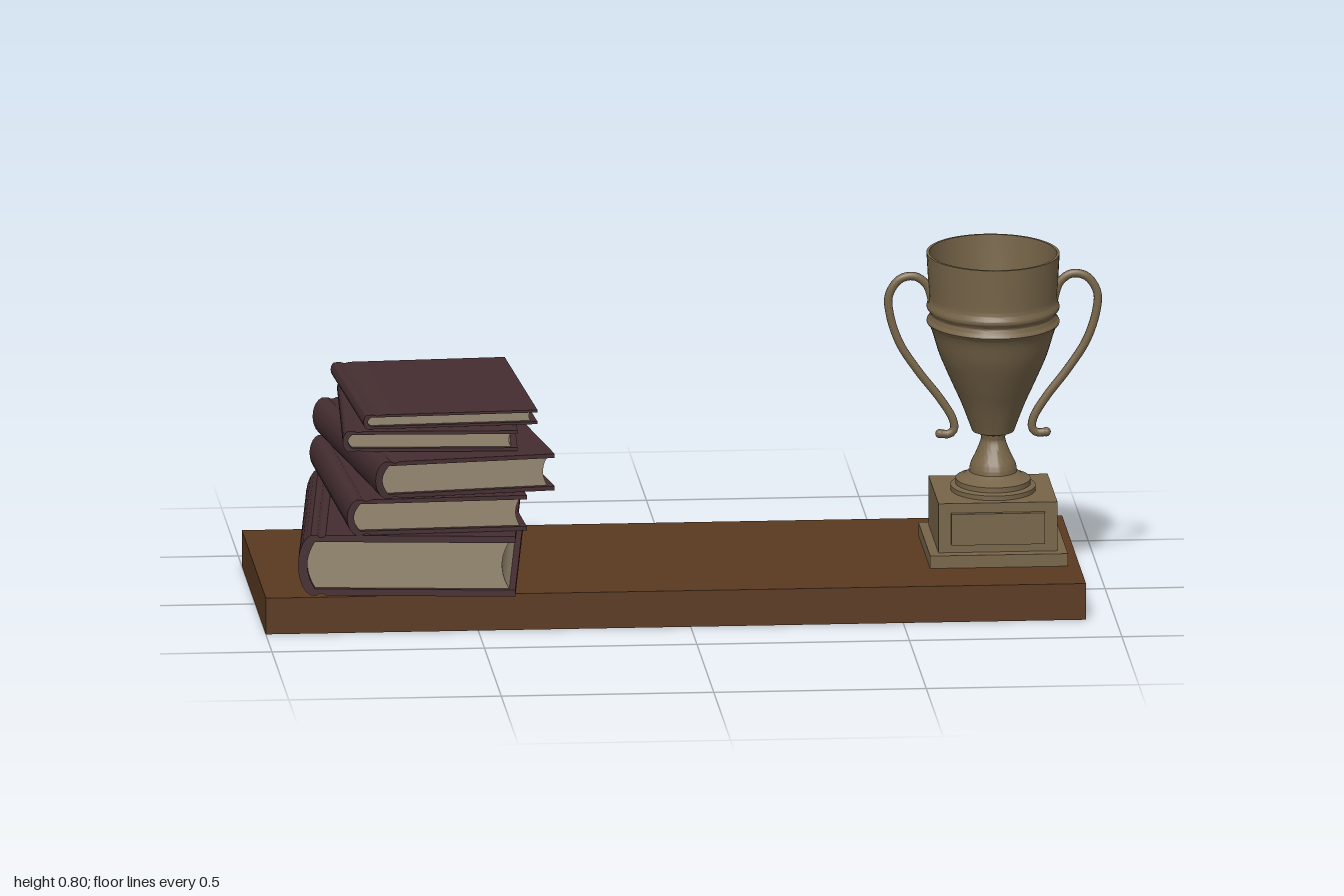
import * as THREE from 'three';
import { toCreasedNormals } from 'three/addons/utils/BufferGeometryUtils.js';

const material = (name, color) => {
  const m = new THREE.MeshStandardMaterial({ color });
  m.name = name;
  return m;
};

export function createModel() {
  const wood = material('brown wood', 0x5a3a20);
  const bronze = material('aged bronze', 0x776549);
  const leather = material('maroon cover', 0x442d30);
  const paper = material('old paper', 0x968871);

  const model = new THREE.Group();
  model.name = 'shelfWithBooksAndTrophy';

  const add = (parent, name, geometry, mat, x = 0, y = 0, z = 0) => {
    const mesh = new THREE.Mesh(geometry, mat);
    mesh.name = name;
    mesh.position.set(x, y, z);
    parent.add(mesh);
    return mesh;
  };
  // box given by its lower and upper corners
  const block = (parent, name, mat, [x0, y0, z0], [x1, y1, z1]) =>
    add(parent, name, new THREE.BoxGeometry(x1 - x0, y1 - y0, z1 - z0), mat,
      (x0 + x1) / 2, (y0 + y1) / 2, (z0 + z1) / 2);
  // extrude a cross-section along z, centred
  const extrude = (shape, depth) => {
    const g = new THREE.ExtrudeGeometry(shape, { depth, bevelEnabled: false, curveSegments: 10 });
    g.translate(0, 0, -depth / 2);
    return toCreasedNormals(g, 0.6);
  };

  // shelf board
  block(model, 'shelfBoard', wood, [-1, 0, -0.392], [0.93, 0.087, 0.317]);

  // book: wrapped cover with a rounded spine at -x, page block with a hollow fore-edge
  function makeBook({ x, z, y0, y1, w, d, turn, board }) {
    const book = new THREE.Group();
    book.name = 'book';
    const h = y1 - y0, L = -w / 2, R = w / 2, t = board;
    const bulge = Math.min(0.03, h * 0.25), g = t * 0.35;
    const sx = L + bulge;

    const cover = new THREE.Shape();
    cover.moveTo(R, 0);
    cover.lineTo(R, t);
    cover.lineTo(sx + 0.01, t);
    cover.quadraticCurveTo(L + t - bulge * 0.4, h / 2, sx + 0.01, h - t);
    cover.lineTo(R, h - t);
    cover.lineTo(R, h);
    cover.lineTo(sx + 0.035, h);
    cover.quadraticCurveTo(sx + 0.025, h - 2 * g, sx + 0.015, h);
    cover.lineTo(sx, h);
    cover.bezierCurveTo(L - bulge * 0.33, h * 0.85, L - bulge * 0.33, h * 0.15, sx, 0);
    cover.lineTo(sx + 0.015, 0);
    cover.quadraticCurveTo(sx + 0.025, 2 * g, sx + 0.035, 0);
    cover.closePath();
    add(book, 'cover', extrude(cover, d), leather);

    const inset = 0.014, e = 0.001;
    const pages = new THREE.Shape();
    pages.moveTo(sx + 0.006, t - e);
    pages.lineTo(R - inset, t - e);
    pages.quadraticCurveTo(R - inset - Math.min(0.035, h * 0.25), h / 2, R - inset, h - t + e);
    pages.lineTo(sx + 0.006, h - t + e);
    pages.quadraticCurveTo(L + t - bulge * 0.4, h / 2, sx + 0.006, t - e);
    add(book, 'pages', extrude(pages, d - 2 * inset), paper);

    book.position.set(x, y0, z);
    book.rotation.y = turn;
    return book;
  }

  const stack = new THREE.Group();
  stack.name = 'bookStack';
  model.add(stack);
  [
    { x: -0.636, z: 0.02, y0: 0.098, y1: 0.243, w: 0.51, d: 0.7, turn: -0.105, board: 0.016 },
    { x: -0.617, z: 0.008, y0: 0.244, y1: 0.329, w: 0.425, d: 0.685, turn: 0.05, board: 0.01 },
    { x: -0.58, z: 0, y0: 0.333, y1: 0.421, w: 0.43, d: 0.687, turn: 0.138, board: 0.01 },
    { x: -0.595, z: 0, y0: 0.424, y1: 0.473, w: 0.41, d: 0.555, turn: -0.055, board: 0.008 },
    { x: -0.577, z: -0.024, y0: 0.477, y1: 0.511, w: 0.412, d: 0.556, turn: 0.06, board: 0.006 },
  ].forEach((spec) => stack.add(makeBook(spec)));

  // trophy plinth
  const trophy = new THREE.Group();
  trophy.name = 'trophy';
  model.add(trophy);
  block(trophy, 'plinthStep', bronze, [0.578, 0.087, -0.222], [0.902, 0.117, 0.133]);
  block(trophy, 'plinth', bronze, [0.6, 0.117, -0.192], [0.88, 0.235, 0.101]);
  block(trophy, 'plaque', bronze, [0.63, 0.137, 0.1], [0.85, 0.212, 0.115]);

  // turned foot, stem and hollow oval cup
  const cx = 0.74, cz = -0.046;
  const foot = [[0, 0.234], [0.125, 0.234], [0.125, 0.246], [0.11, 0.25], [0.11, 0.262], [0.09, 0.268], [0.075, 0.277]];
  const v = (list) => list.map(([r, y]) => new THREE.Vector2(r, y));
  const stem = new THREE.SplineCurve(v([
    [0.07, 0.28], [0.066, 0.298], [0.05, 0.325], [0.036, 0.355], [0.038, 0.37],
  ])).getPoints(16);
  const bowl = [
    [0.062, 0.377], [0.07, 0.395], [0.094, 0.445], [0.125, 0.5], [0.158, 0.562], [0.177, 0.612],
    [0.186, 0.63], [0.195, 0.64], [0.187, 0.651], [0.185, 0.662], [0.195, 0.675], [0.189, 0.69],
    [0.188, 0.705], [0.192, 0.76], [0.195, 0.804],
  ];
  const outer = new THREE.SplineCurve(v(bowl)).getPoints(60);
  const inner = outer.filter((p) => p.y > 0.4).reverse()
    .map((p) => new THREE.Vector2(p.x - 0.008, p.y));
  const floor = v([[0.05, 0.395], [0.04, 0.39], [0, 0.39]]);
  const cupGeo = toCreasedNormals(
    new THREE.LatheGeometry([...v(foot), ...stem, ...outer, ...inner, ...floor], 56), 0.6);
  add(trophy, 'cup', cupGeo, bronze, cx, 0, cz).scale.x = 0.8;

  // scrolled handles, mirrored
  for (const side of [-1, 1]) {
    const path = new THREE.CatmullRomCurve3([
      [0.143, 0.69], [0.157, 0.73], [0.185, 0.75], [0.22, 0.743], [0.245, 0.705], [0.243, 0.66],
      [0.22, 0.59], [0.175, 0.52], [0.125, 0.455], [0.095, 0.405], [0.092, 0.38],
      [0.104, 0.369], [0.125, 0.37],
    ].map(([x, y]) => new THREE.Vector3(side * x, y, 0)));
    const handle = new THREE.Group();
    handle.name = side > 0 ? 'leftHandle' : 'rightHandle';
    handle.position.set(cx, 0, cz);
    trophy.add(handle);
    add(handle, 'handleScroll', new THREE.TubeGeometry(path, 64, 0.01, 10), bronze);
    for (const t of [0, 1]) {
      const p = path.getPoint(t);
      add(handle, 'handleTip', new THREE.SphereGeometry(0.011, 12, 8), bronze, p.x, p.y, p.z);
    }
  }
  return model;
}
